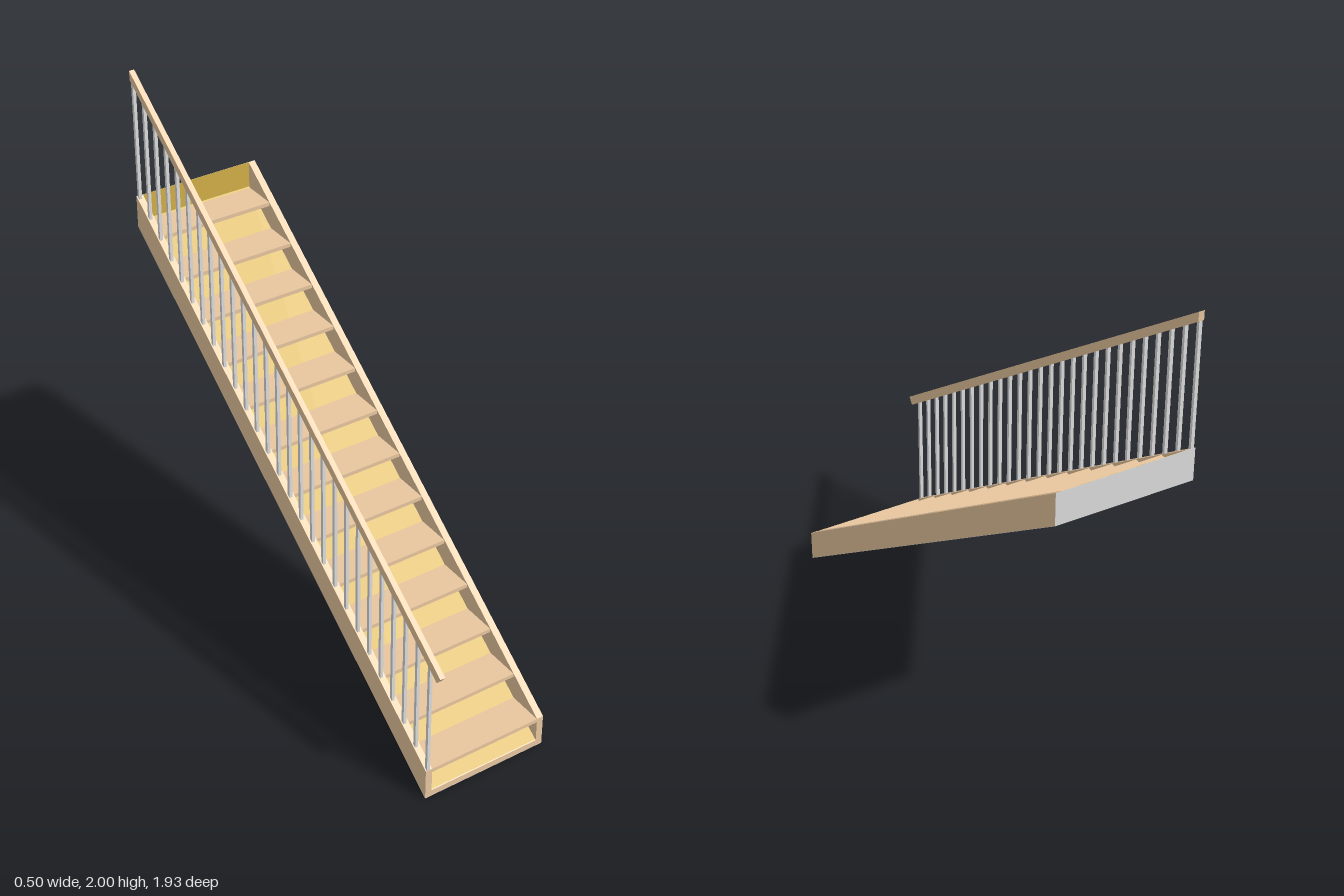
import * as THREE from 'three';

const wood = new THREE.MeshStandardMaterial({ color: 0xe7c69e });
wood.name = 'wood';
const ochre = new THREE.MeshStandardMaterial({ color: 0xd0ae46 });
ochre.name = 'ochre lining';
const grey = new THREE.MeshStandardMaterial({ color: 0xdcdcdc });
grey.name = 'pale grey';

const FRONT = 0.9, BACK = -0.965, HALF = 0.2525, INNER = 0.226;
const SKIN = 0.001;
const STEPS = 13;
const RUN = (FRONT - BACK) / STEPS;
const SLOPE = 1.375 / (FRONT - BACK);
const slopeY = (z, base) => base + (FRONT - z) * SLOPE;

export function createModel() {
  const group = new THREE.Group();
  const add = (name, geometry, material) => {
    const mesh = new THREE.Mesh(geometry, material);
    mesh.name = name;
    group.add(mesh);
    return mesh;
  };

  // Side profile of [z, y] points, extruded from x0 to x1
  const prism = (points, x0, x1) => {
    const shape = new THREE.Shape(points.map(([z, y]) => new THREE.Vector2(z, y)));
    const geometry = new THREE.ExtrudeGeometry(shape, { depth: x1 - x0, bevelEnabled: false });
    return geometry.rotateY(-Math.PI / 2).translate(x1, 0, 0);
  };
  // Sloping band between two heights above the underside line
  const band = (z0, z1, low, high) => [
    [z0, slopeY(z0, low)], [z1, slopeY(z1, low)], [z1, slopeY(z1, high)], [z0, slopeY(z0, high)],
  ];
  // Upright sheet across the upper end
  const sheet = (z, low, high) => [[z, low], [z + SKIN, low], [z + SKIN, high], [z, high]];

  // Stringers on both sides
  const stringer = band(FRONT, BACK + SKIN, SKIN, 0.126);
  add('leftStringer', prism(stringer, INNER, HALF), wood);
  add('rightStringer', prism(stringer, -HALF, -INNER), wood);

  // Sloping floor under the treads, with its front lip and the upper end panel
  add('floorLining', prism(band(FRONT - 0.003, BACK + SKIN, SKIN, 0.025), -INNER, INNER), ochre);
  add('frontLip', prism(band(FRONT, FRONT - 0.003, SKIN, 0.025), -INNER, INNER), wood);
  add('endLining', prism(sheet(BACK + SKIN, 1.39, 1.5), -INNER, INNER), ochre);

  // Thin grey skin on the underside and the upper end
  add('undersideSkin', prism(band(FRONT, BACK, 0, SKIN), -HALF, HALF), grey);
  add('endSkin', prism(sheet(BACK, 1.376, 1.5), -HALF, HALF), grey);

  // Open treads, a narrow gap behind each except the lowest
  for (let i = 0; i < STEPS; i++) {
    const depth = i === 0 ? RUN : RUN - 0.003;
    const tread = add('tread', new THREE.BoxGeometry(INNER * 2, 0.015, depth), wood);
    tread.position.set(0, 0.1175 + i * RUN * SLOPE, FRONT - i * RUN - depth / 2);
  }

  // Handrail on the right side
  add('handrail', prism([
    [BACK, 2], [BACK, 1.965], [0.945, 0.558], [0.965, 0.585],
  ], -HALF, -0.232), wood);

  // Square balusters from the stringer up to the rail
  const COUNT = 27;
  for (let i = 0; i < COUNT; i++) {
    const z = 0.894 - i * (1.852 / (COUNT - 1));
    const bottom = slopeY(z, 0.118);
    const top = 0.57 + (0.943 - z) * (1.405 / 1.906);
    const post = add('baluster', new THREE.BoxGeometry(0.012, top - bottom, 0.012), grey);
    post.position.set(-0.242, (top + bottom) / 2, z);
  }
  return group;
}
